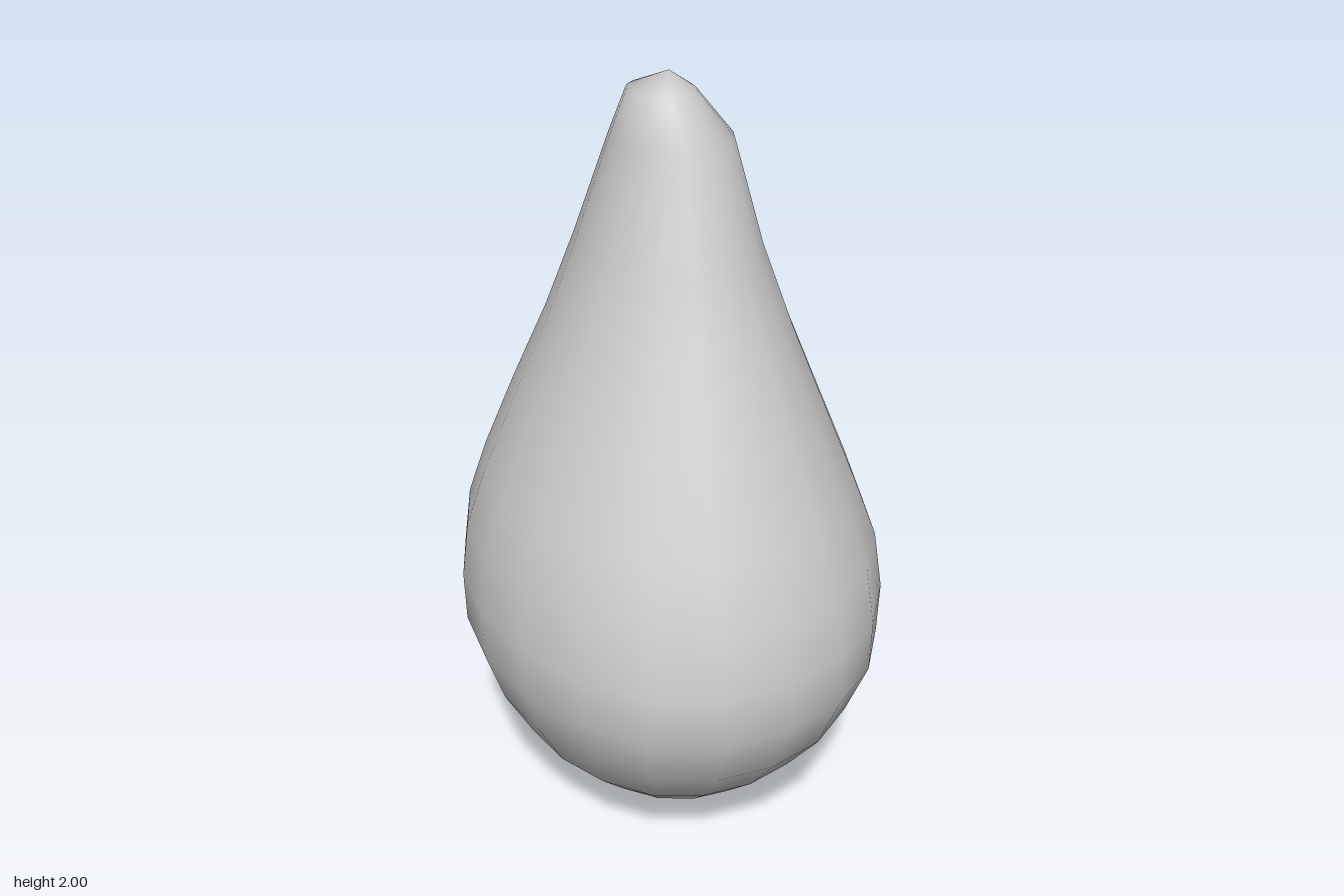
import * as THREE from 'three';

// Cross-sections from bottom to top: y, x min, x max, z min, z max
const SECTIONS = [
  [0, -0.09, 0, 0, 0.09],
  [0.06, -0.18, 0.14, -0.15, 0.19],
  [0.16, -0.29, 0.285, -0.335, 0.325],
  [0.28, -0.405, 0.395, -0.46, 0.45],
  [0.42, -0.48, 0.465, -0.56, 0.56],
  [0.57, -0.53, 0.515, -0.605, 0.62],
  [0.7, -0.53, 0.525, -0.615, 0.615],
  [0.85, -0.51, 0.505, -0.59, 0.585],
  [1.0, -0.46, 0.45, -0.53, 0.52],
  [1.2, -0.375, 0.37, -0.445, 0.425],
  [1.4, -0.285, 0.29, -0.355, 0.33],
  [1.6, -0.21, 0.22, -0.27, 0.24],
  [1.85, -0.135, 0.15, -0.16, 0.155],
  [1.96, -0.095, 0.06, -0.095, 0.085],
];
const SIDES = 20;

// Elliptical loops joined into one skin, closed by a point at each end
function bodyGeometry() {
  const positions = [], index = [];
  for (const [y, x0, x1, z0, z1] of SECTIONS) {
    for (let j = 0; j < SIDES; j++) {
      const a = (j / SIDES) * Math.PI * 2;
      // slight swelling on the front right of the belly
      const belly = Math.exp(-(((y - 0.55) / 0.35) ** 2));
      const swell = 1 + 0.04 * belly * Math.exp(-(((a - 2.16) / 0.35) ** 2));
      positions.push(
        (x0 + x1) / 2 + ((x1 - x0) / 2) * Math.cos(a) * swell,
        y,
        (z0 + z1) / 2 + ((z1 - z0) / 2) * Math.sin(a) * swell,
      );
    }
  }
  const rows = SECTIONS.length;
  const bottom = rows * SIDES, top = bottom + 1, last = (rows - 1) * SIDES;
  positions.push(-0.045, 0, 0.045, 0, 2, 0);
  for (let j = 0; j < SIDES; j++) {
    const k = (j + 1) % SIDES;
    index.push(bottom, j, k, top, last + k, last + j);
    for (let i = 0; i < rows - 1; i++) {
      const p = i * SIDES + j, q = i * SIDES + k;
      index.push(p, p + SIDES, q, q, p + SIDES, q + SIDES);
    }
  }
  const geometry = new THREE.BufferGeometry();
  geometry.setAttribute('position', new THREE.Float32BufferAttribute(positions, 3));
  geometry.setIndex(index);
  geometry.computeVertexNormals();
  return geometry;
}

export function createModel() {
  const group = new THREE.Group();
  const body = new THREE.Mesh(bodyGeometry(), new THREE.MeshStandardMaterial({ color: 0xcccccc }));
  body.name = 'pearBody';
  group.add(body);
  return group;
}
